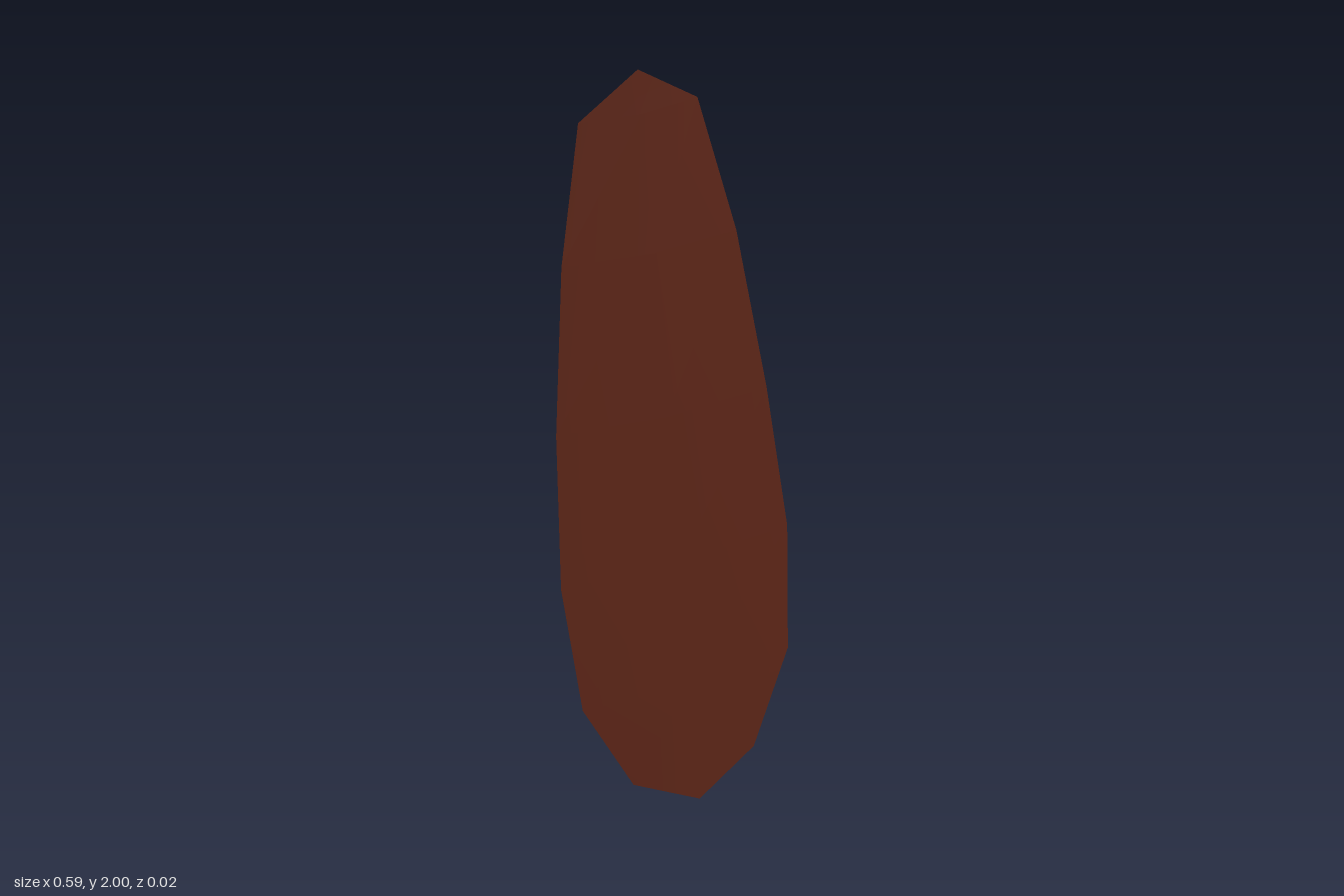
import * as THREE from 'three';

const DEPTH = 0.012; // the midrib stands forward, the rims sit back

// Outline rows from base to tip: [left x, left y, right x, right y]
const ROWS = [
  [-0.13, 0.09, 0.207, 0.115],
  [-0.257, 0.39, 0.292, 0.43],
  [-0.295, 0.78, 0.274, 0.82],
  [-0.287, 1.2, 0.207, 1.22],
  [-0.257, 1.6, 0.125, 1.62],
  [-0.21, 1.9, 0.036, 1.92],
];
const BASE = [0.045, 0];
const TIP = [-0.095, 2];

// Thin blade folded along a straight midrib
function bladeGeometry() {
  const pos = [...BASE, DEPTH];
  const index = [];
  for (const [lx, ly, rx, ry] of ROWS) {
    const my = (ly + ry) / 2;
    const mx = THREE.MathUtils.lerp(BASE[0], TIP[0], my / 2);
    pos.push(lx, ly, -DEPTH, mx, my, DEPTH, rx, ry, -DEPTH);
  }
  pos.push(...TIP, DEPTH);
  const last = pos.length / 3 - 1;

  // base fan, quads between rows, tip fan
  for (let c = 0; c < 2; c++) {
    index.push(0, 2 + c, 1 + c);
    for (let r = 0; r < ROWS.length - 1; r++) {
      const a = 1 + r * 3 + c;
      index.push(a, a + 1, a + 4, a, a + 4, a + 3);
    }
    index.push(last - 3 + c, last - 2 + c, last);
  }

  const geo = new THREE.BufferGeometry();
  geo.setAttribute('position', new THREE.Float32BufferAttribute(pos, 3));
  geo.setIndex(index);
  geo.computeVertexNormals();
  return geo;
}

export function createModel() {
  const group = new THREE.Group();
  group.name = 'leaf';
  const blade = new THREE.Mesh(
    bladeGeometry(),
    new THREE.MeshStandardMaterial({ color: 0x5c2517, side: THREE.DoubleSide })
  );
  blade.name = 'leafBlade';
  group.add(blade);
  return group;
}
